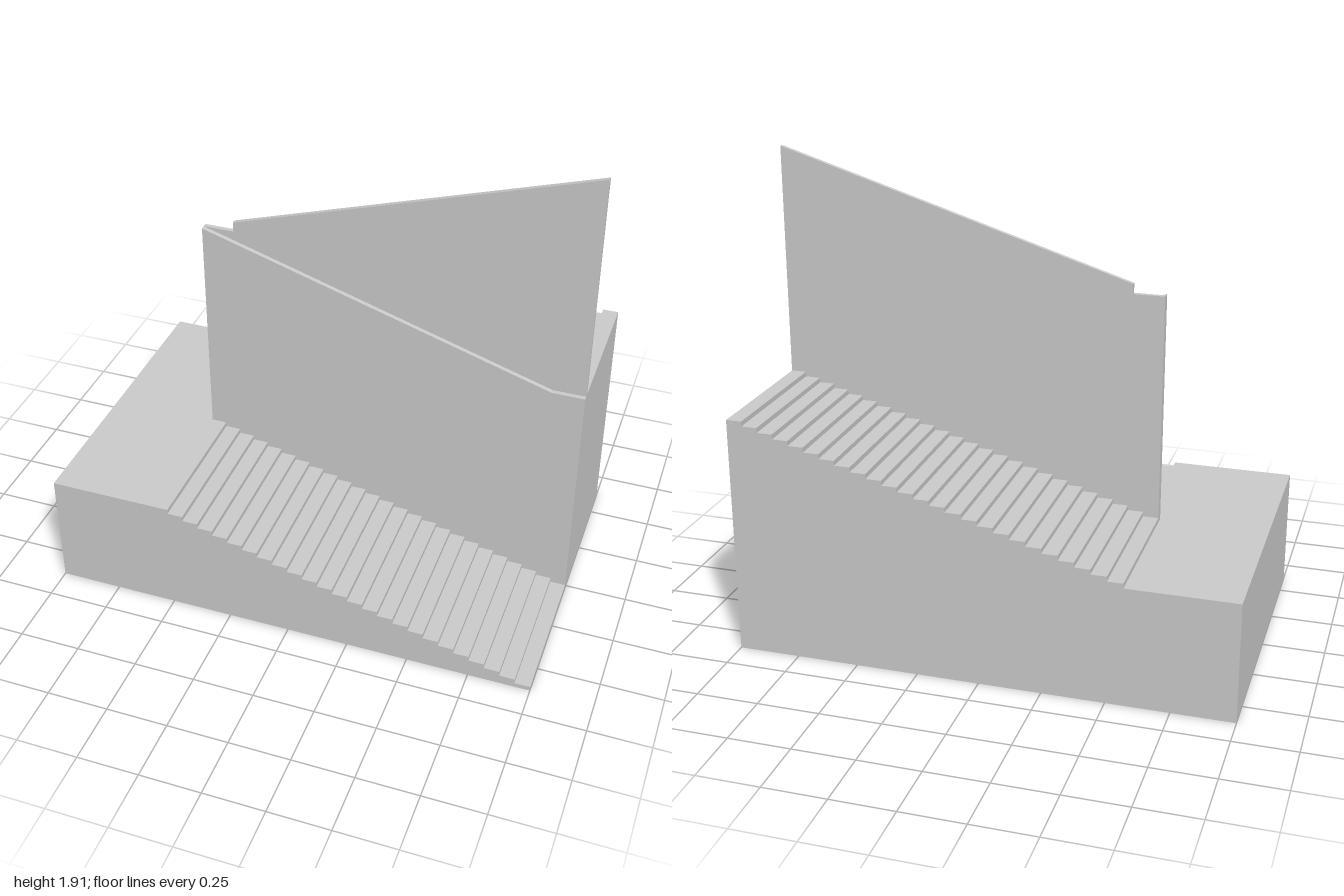
import * as THREE from 'three';

const material = new THREE.MeshStandardMaterial({ color: 0xcccccc, flatShading: true });

const TREAD = 0.0625;
const RISER = 0.01953;
const STEPS = 25;
const HALF_DEPTH = 0.6225;
const WALL = 0.0185; // thickness of each wall leaf
const LEFT = -1, WALL_X = -0.5625, RIGHT = 1;
const LANDING_Y = STEPS * RISER;
const TOP_Y = 2 * LANDING_Y;

// Extrudes a side profile in the x-y plane between two depths
function slab(name, points, z0, z1) {
  const shape = new THREE.Shape(points.map(([x, y]) => new THREE.Vector2(x, y)));
  const geometry = new THREE.ExtrudeGeometry(shape, { depth: z1 - z0, bevelEnabled: false });
  geometry.translate(0, 0, z0);
  const mesh = new THREE.Mesh(geometry, material);
  mesh.name = name;
  return mesh;
}

// Stepped outline: every riser sits at startX + i * TREAD and changes the height by rise
function flightProfile(startX, count, rise) {
  const points = [[RIGHT, 0], [WALL_X, 0], [WALL_X, LANDING_Y]];
  for (let i = 0; i < count; i++) {
    const x = startX + i * TREAD;
    if (x > WALL_X) points.push([x, LANDING_Y + i * rise]);
    points.push([x, LANDING_Y + (i + 1) * rise]);
  }
  points.push([RIGHT, LANDING_Y + count * rise]);
  return points;
}

export function createModel() {
  const group = new THREE.Group();
  group.name = 'switchbackStair';

  // Half landing across the full depth
  group.add(slab('landing',
    [[LEFT, 0], [WALL_X, 0], [WALL_X, LANDING_Y], [LEFT, LANDING_Y]],
    -HALF_DEPTH, HALF_DEPTH));

  // Lower flight at the front, upper flight at the back
  group.add(slab('lowerFlight', flightProfile(WALL_X + TREAD, STEPS - 1, -RISER), WALL, HALF_DEPTH));
  group.add(slab('upperFlight', flightProfile(WALL_X, STEPS, RISER), -HALF_DEPTH, -WALL));

  // Front wall leaf, its top following the lower flight
  group.add(slab('lowerWall',
    [[WALL_X, 0], [RIGHT, 0], [RIGHT, TOP_Y], [0.87, TOP_Y], [WALL_X, 1.426]],
    0, WALL));

  // Back wall leaf, its top following the upper flight
  group.add(slab('upperWall',
    [[WALL_X, 0], [RIGHT, 0], [RIGHT, 1.915], [-0.4375, 1.466], [-0.4375, 1.426], [WALL_X, 1.426]],
    -WALL, 0));

  return group;
}
